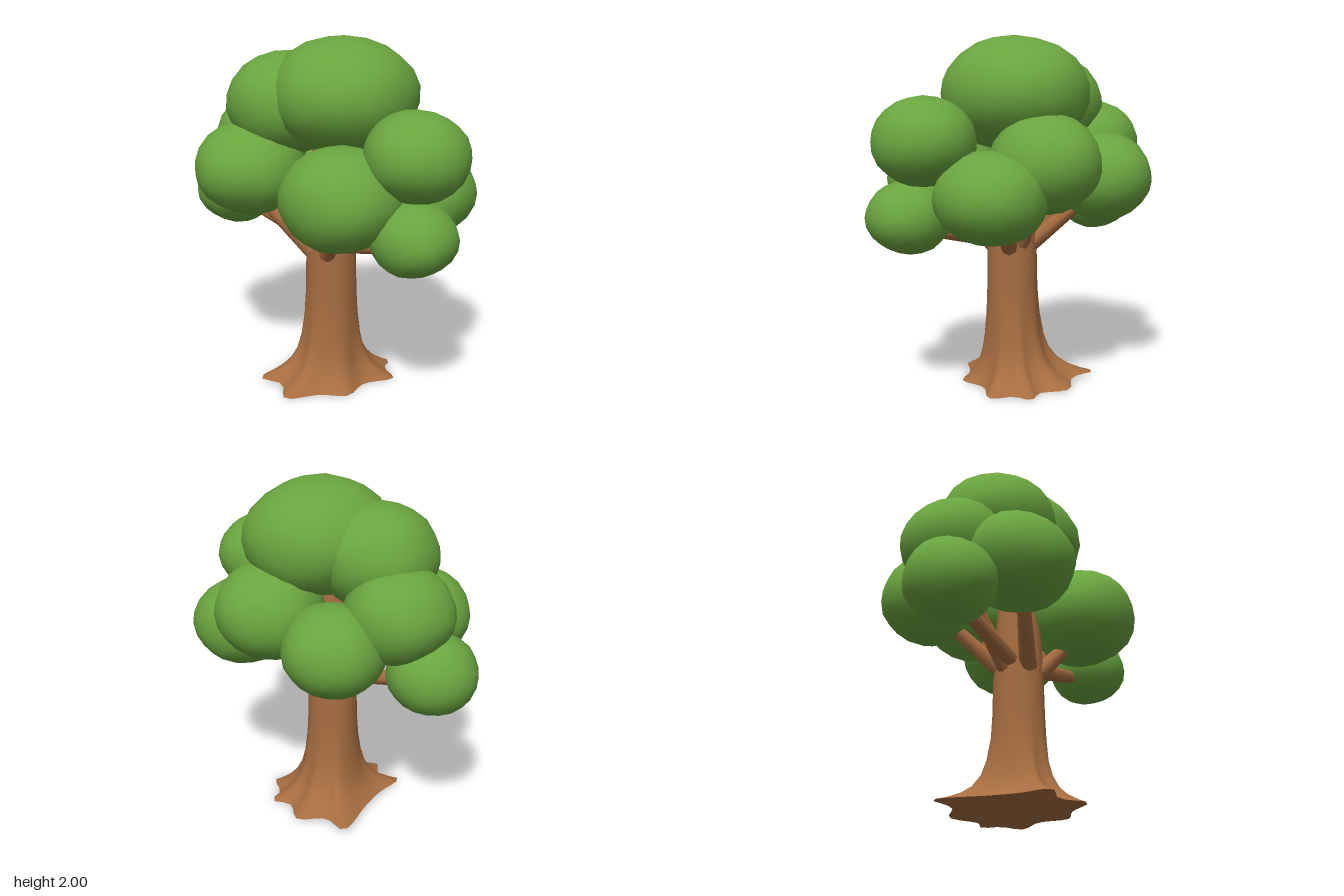
import * as THREE from 'three';
import { mergeVertices } from 'three/addons/utils/BufferGeometryUtils.js';

const bark = new THREE.MeshStandardMaterial({ color: 0xa66d40, side: THREE.DoubleSide });
bark.name = 'bark brown';
const leaf = new THREE.MeshStandardMaterial({ color: 0x6aa53f });
leaf.name = 'leaf green';

const CX = 0.045, CZ = 0.06; // trunk axis

// Leaf clumps: name, centre, radii
const CLUMPS = [
  ['crown', [0.08, 1.68, -0.01], [0.41, 0.32, 0.425]],
  ['upperRight', [-0.24, 1.62, 0.1], [0.35, 0.29, 0.34]],
  ['frontRight', [-0.345, 1.26, 0.31], [0.325, 0.26, 0.31]],
  ['frontLeft', [0.33, 1.2, 0.32], [0.33, 0.28, 0.315]],
  ['sideLeft', [0.64, 1.43, 0.08], [0.28, 0.24, 0.29]],
  ['lowLeft', [0.69, 1.02, 0.16], [0.23, 0.2, 0.23]],
  ['lowRight', [-0.67, 1.06, 0.1], [0.25, 0.225, 0.25]],
  ['sideRight', [-0.51, 1.38, 0], [0.29, 0.26, 0.3]],
  ['back', [0.14, 1.31, -0.33], [0.31, 0.27, 0.305]],
  ['backLeft', [0.45, 1.14, -0.25], [0.3, 0.25, 0.305]],
  ['backRight', [-0.33, 1.21, -0.3], [0.28, 0.25, 0.285]],
];

// Branches: name, start, end
const BRANCHES = [
  ['lowRight', [-0.02, 0.83, 0.08], [-0.6, 0.98, 0.1]],
  ['lowLeft', [0.1, 0.84, 0.1], [0.62, 0.95, 0.15]],
  ['frontRight', [-0.01, 0.8, 0.16], [-0.28, 1.1, 0.3]],
  ['frontLeft', [0.1, 0.8, 0.16], [0.3, 1.06, 0.3]],
  ['sideRight', [-0.03, 0.77, 0.05], [-0.45, 1.22, 0]],
  ['sideLeft', [0.13, 0.82, 0.07], [0.55, 1.3, 0.08]],
  ['backLeft', [0.12, 0.8, -0.01], [0.35, 1.05, -0.2]],
  ['back', [0.06, 0.8, -0.02], [0.12, 1.18, -0.27]],
  ['backRight', [-0.02, 0.8, 0], [-0.28, 1.1, -0.24]],
];

// Slightly uneven, squashed ball
function clumpGeometry(radii, seed) {
  let g = new THREE.IcosahedronGeometry(1, 3);
  g.deleteAttribute('normal');
  g.deleteAttribute('uv');
  g = mergeVertices(g, 1e-4);
  const p = g.attributes.position, v = new THREE.Vector3();
  for (let i = 0; i < p.count; i++) {
    v.fromBufferAttribute(p, i);
    const bump = 1.01 + 0.015 * Math.sin(4 * v.x + seed) * Math.cos(5 * v.y - seed) + 0.012 * Math.sin(6 * v.z + 2 * seed);
    p.setXYZ(i, v.x * radii[0] * bump, v.y * radii[1] * bump, v.z * radii[2] * bump);
  }
  g.computeVertexNormals();
  return g;
}

// Outline of the root flare at the ground
const RIM = [[0.37, -0.13], [0.28, 0.04], [0.3, 0.21], [0.17, 0.31], [0.05, 0.47],
  [-0.07, 0.37], [-0.2, 0.41], [-0.22, 0.22], [-0.26, 0.05], [-0.34, -0.23],
  [-0.18, -0.22], [-0.05, -0.33], [0.1, -0.25], [0.21, -0.3], [0.25, -0.2]];

// Trunk sections: height, trunk radius, share of the root outline
const SECTIONS = [[0, 0.145, 1], [0.025, 0.145, 0.8], [0.06, 0.145, 0.58], [0.11, 0.145, 0.38],
  [0.18, 0.146, 0.22], [0.27, 0.146, 0.12], [0.4, 0.145, 0.05], [0.55, 0.145, 0.01],
  [0.8, 0.143, 0], [1.0, 0.135, 0], [1.45, 0.1, 0]];

function rimPoints(n) {
  const curve = new THREE.CatmullRomCurve3(RIM.map(([x, z]) => new THREE.Vector3(x, 0, z)), true);
  return curve.getSpacedPoints(n).slice(0, n);
}

// Raised root tips on the right-hand side
const rimLift = (x) => 0.03 * THREE.MathUtils.smoothstep(-x, -0.1, 0.33);

function skin(rows, n) {
  const index = [];
  for (let r = 0; r < rows - 1; r++) {
    for (let i = 0; i < n; i++) {
      const a = r * n + i, b = r * n + (i + 1) % n;
      index.push(a, a + n, b, b, a + n, b + n);
    }
  }
  return index;
}

function loopGeometry(loops) {
  const n = loops[0].length;
  const g = new THREE.BufferGeometry().setFromPoints(loops.flat());
  g.setIndex(skin(loops.length, n));
  g.computeVertexNormals();
  return g;
}

function addMesh(parent, geometry, material, name) {
  const m = new THREE.Mesh(geometry, material);
  m.name = name;
  parent.add(m);
  return m;
}

export function createModel() {
  const tree = new THREE.Group();
  tree.name = 'tree';

  // Trunk with flared roots
  const rim = rimPoints(48);
  const loops = SECTIONS.map(([y, radius, share]) => rim.map((q) => {
    const a = Math.atan2(q.z - CZ, q.x - CX);
    return new THREE.Vector3(
      THREE.MathUtils.lerp(CX + radius * Math.cos(a), q.x, share),
      y + rimLift(q.x) * share,
      THREE.MathUtils.lerp(CZ + radius * Math.sin(a), q.z, share));
  }));
  addMesh(tree, loopGeometry(loops), bark, 'trunk');

  // Hollowed underside of the roots
  const under = [0.01, 0.6, 1].map((s) => rim.map((q) => new THREE.Vector3(
    THREE.MathUtils.lerp(CX, q.x, s),
    0.05 * (1 - s) + rimLift(q.x) * s,
    THREE.MathUtils.lerp(CZ, q.z, s))));
  addMesh(tree, loopGeometry(under), bark, 'rootUnderside');

  // Branches
  const branches = new THREE.Group();
  branches.name = 'branches';
  tree.add(branches);
  const up = new THREE.Vector3(0, 1, 0);
  for (const [name, from, to] of BRANCHES) {
    const a = new THREE.Vector3(...from), b = new THREE.Vector3(...to);
    const dir = b.clone().sub(a);
    const m = addMesh(branches, new THREE.CylinderGeometry(0.036, 0.052, dir.length(), 8), bark, name + 'Branch');
    m.position.copy(a).add(b).multiplyScalar(0.5);
    m.quaternion.setFromUnitVectors(up, dir.normalize());
  }

  // Foliage
  const foliage = new THREE.Group();
  foliage.name = 'foliage';
  tree.add(foliage);
  CLUMPS.forEach(([name, centre, radii], i) => {
    addMesh(foliage, clumpGeometry(radii, i * 1.7), leaf, name + 'Clump').position.set(...centre);
  });

  return tree;
}
